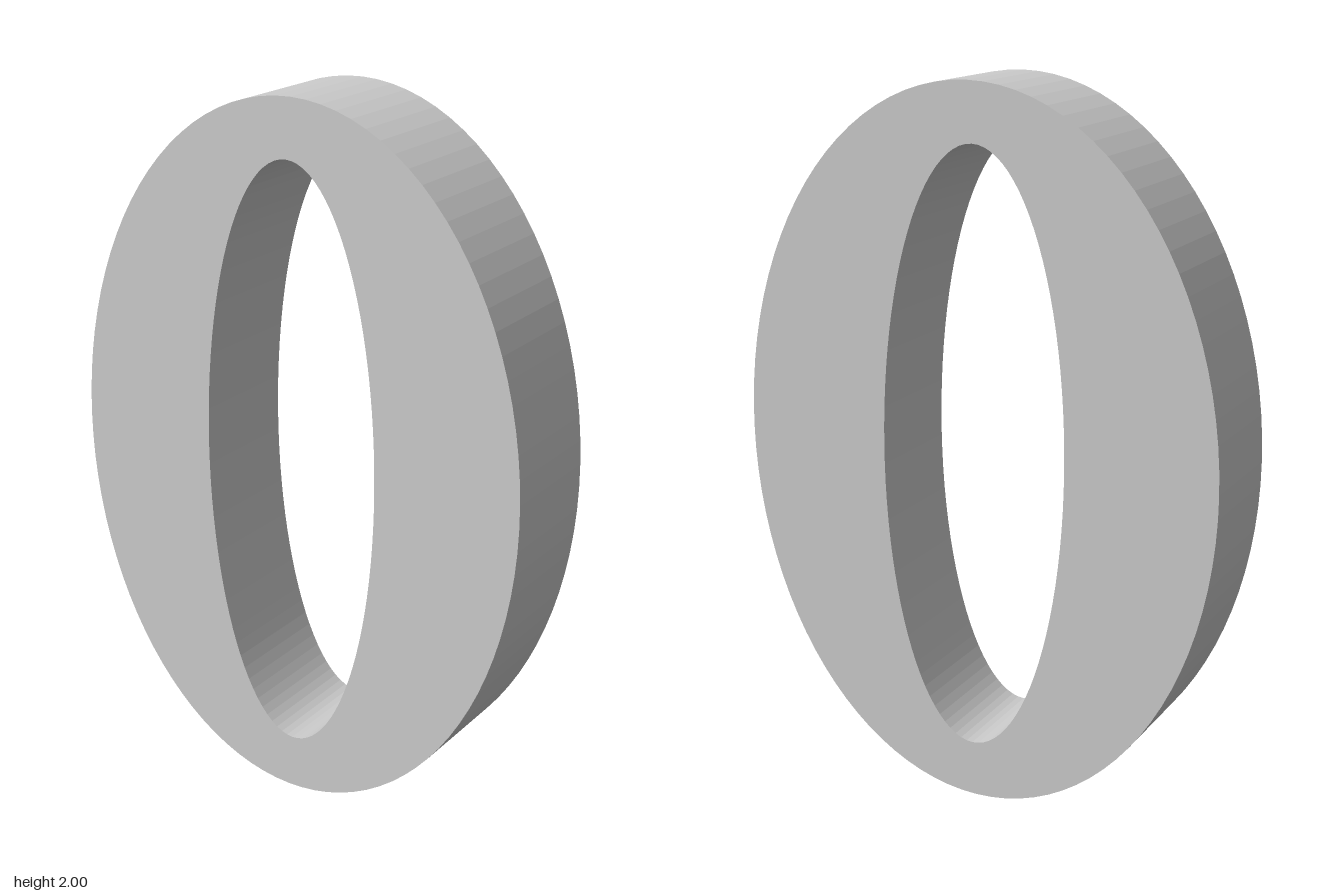
import * as THREE from 'three';

const DEPTH = 0.326;
const SEGMENTS = 96;

// Points of an ellipse about (0, 1), leaning sideways by a small amount
function ovalPoints(rx, ry, lean) {
  return Array.from({ length: SEGMENTS }, (_, i) => {
    const t = (i / SEGMENTS) * Math.PI * 2;
    return new THREE.Vector2(rx * Math.cos(t) + lean * Math.sin(t), 1 + ry * Math.sin(t));
  });
}

export function createModel() {
  const group = new THREE.Group();
  group.name = 'ovalRing';

  // Flat oval plate with a narrow oval opening
  const outline = new THREE.Shape(ovalPoints(0.703, 1, 0.011));
  outline.holes.push(new THREE.Path(ovalPoints(0.273, 0.84, -0.003)));
  const geometry = new THREE.ExtrudeGeometry(outline, { depth: DEPTH, bevelEnabled: false });
  geometry.translate(0, 0, -DEPTH / 2);

  const ring = new THREE.Mesh(
    geometry,
    new THREE.MeshStandardMaterial({ color: 0xcccccc, flatShading: true })
  );
  ring.name = 'ring';
  group.add(ring);
  return group;
}
